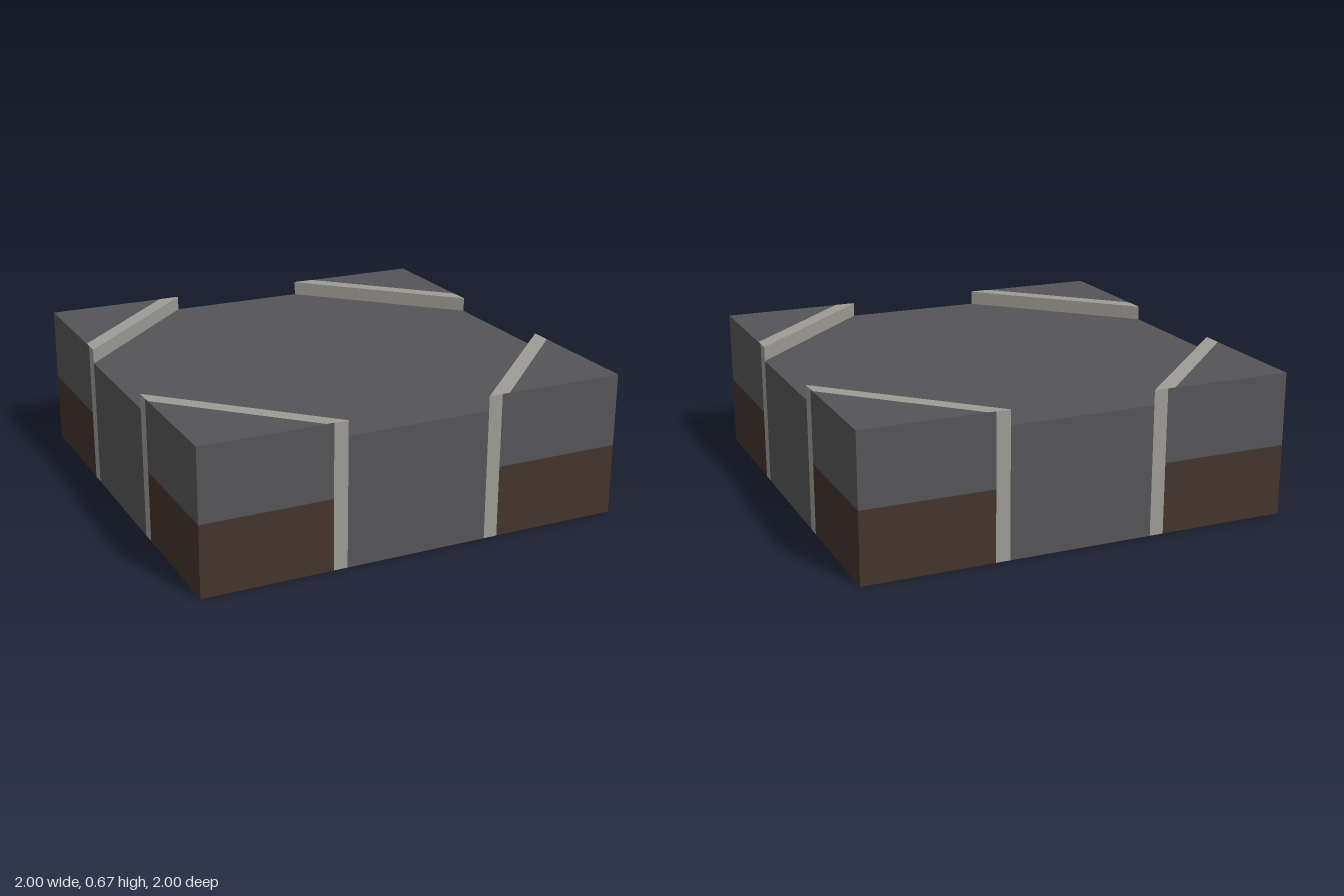
import * as THREE from 'three';

const mat = (name, color) => new THREE.MeshStandardMaterial({ name, color });

// Flat outline in plan, given as [x, z] pairs
const outline = (pts) => new THREE.Shape(pts.map(([x, z]) => new THREE.Vector2(x, -z)));

// Upright prism over a plan outline, from y0 to y1
function prism(name, pts, y0, y1, material) {
  const g = new THREE.ExtrudeGeometry(outline(pts), { depth: y1 - y0, bevelEnabled: false });
  g.rotateX(-Math.PI / 2).translate(0, y0, 0);
  const mesh = new THREE.Mesh(g, material);
  mesh.name = name;
  return mesh;
}

// Single horizontal face, looking up or down
function face(name, pts, y, material, down = false) {
  const g = new THREE.ShapeGeometry(outline(pts));
  g.rotateX(down ? Math.PI / 2 : -Math.PI / 2).translate(0, y, 0);
  const mesh = new THREE.Mesh(g, material);
  mesh.name = name;
  return mesh;
}

export function createModel() {
  const asphalt = mat('asphalt grey', 0x555557);
  const stone = mat('curb stone', 0x9c9b94);
  const soil = mat('soil brown', 0x43342c);

  const inner = 0.335, sideEdge = 0.4, topEdge = 0.435;
  const roadY = 0.6, soilY = 0.33, topY = 0.668, lift = 0.001;
  const group = new THREE.Group();
  group.name = 'crossroadTile';

  // Eight-sided road slab
  const a = inner;
  group.add(prism('road', [[a, 1], [1, a], [1, -a], [a, -1], [-a, -1], [-1, -a], [-1, a], [-a, 1]], lift, roadY, asphalt));

  // Soil underside
  group.add(face('underside', [[-1, -1], [1, -1], [1, 1], [-1, 1]], 0, soil, true));

  // Four raised corners, each cut off by a diagonal curb
  const band = (from, to) => [[from, 1], [to, 1], [1, to], [1, from]];
  const triangle = (e) => [[e, 1], [1, 1], [1, e]];
  for (let i = 0; i < 4; i++) {
    const corner = new THREE.Group();
    corner.name = 'corner' + (i + 1);
    corner.add(
      prism('soilBlock', triangle(sideEdge), lift, soilY, soil),
      prism('pavement', triangle(sideEdge), soilY, topY - lift, asphalt),
      prism('curb', band(inner, sideEdge), lift, topY - lift, stone),
      face('curbTop', band(inner, topEdge), topY, stone),
    );
    corner.rotation.y = i * Math.PI / 2;
    group.add(corner);
  }
  return group;
}
